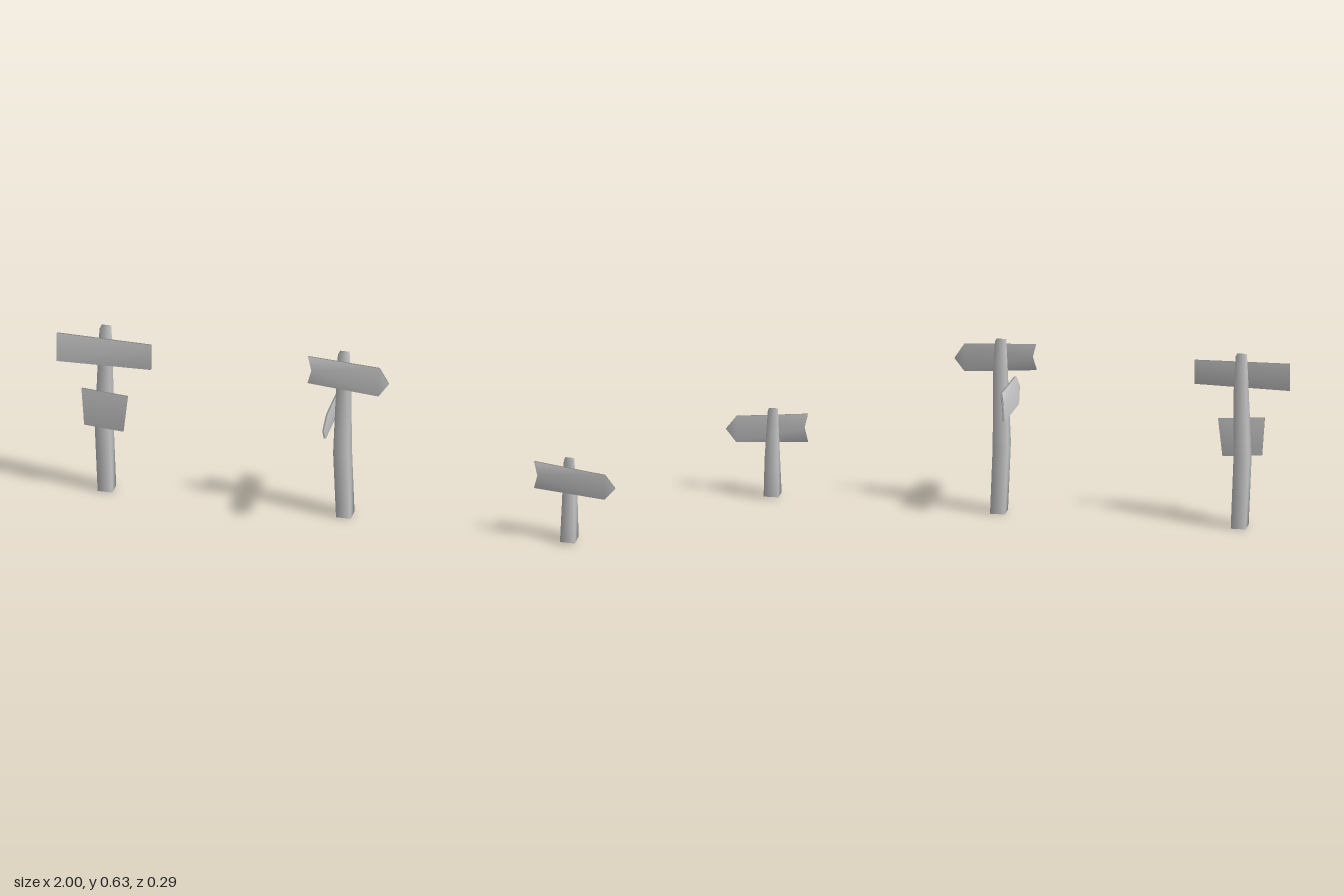
import * as THREE from 'three';

const material = new THREE.MeshStandardMaterial({ color: 0xcccccc });

// Closed smooth solid through matching counter-clockwise rings; the contour triangulates both caps
function loft(rings, contour) {
  const n = contour.length;
  const index = [];
  for (let r = 0; r < rings.length - 1; r++) {
    for (let i = 0; i < n; i++) {
      const a = r * n + i, b = r * n + (i + 1) % n;
      index.push(a, b, b + n, a, b + n, a + n);
    }
  }
  const last = (rings.length - 1) * n;
  const caps = THREE.ShapeUtils.triangulateShape(contour.map(([u, v]) => new THREE.Vector2(u, v)), []);
  for (const [a, b, c] of caps) index.push(a, c, b, last + a, last + b, last + c);
  const geometry = new THREE.BufferGeometry();
  geometry.setAttribute('position', new THREE.Float32BufferAttribute(rings.flat(2), 3));
  geometry.setIndex(index);
  geometry.computeVertexNormals();
  return geometry;
}

// Crooked four-sided post; each section is [y, xMin, xMax, zBack, zFront]
function makePost(name, sections) {
  const rings = sections.map(([y, x0, x1, z0, z1]) =>
    [[x0, y, z1], [x1, y, z1], [x1, y, z0], [x0, y, z0]]);
  const mesh = new THREE.Mesh(loft(rings, [[1, 0], [1, 1], [0, 1], [0, 0]]), material);
  mesh.name = name;
  return mesh;
}

// Thin board from an outline in x and y; its back leans from zBottom to zTop
function makeBoard(name, outline, zBottom, zTop, thickness = 0.008) {
  const ys = outline.map(p => p[1]);
  const low = Math.min(...ys), high = Math.max(...ys);
  const rings = [0, thickness].map(d => outline.map(([x, y]) =>
    [x, y, THREE.MathUtils.mapLinear(y, low, high, zBottom, zTop) + d]));
  const mesh = new THREE.Mesh(loft(rings, outline), material);
  mesh.name = name;
  return mesh;
}

function makeSignpost(name, ...parts) {
  const group = new THREE.Group();
  group.name = name;
  group.add(...parts);
  return group;
}

// Tall post sections around a given x
const tallPost = (name, x) => makePost(name, [
  [0, x, x + 0.053, -0.052, 0.004],
  [0.25, x - 0.011, x + 0.043, -0.055, 0.001],
  [0.51, x, x + 0.044, -0.043, 0.001],
  [0.63, x + 0.004, x + 0.038, -0.041, -0.007],
]);

export function createModel() {
  const model = new THREE.Group();
  model.name = 'signposts';

  // Signpost with two plain boards
  model.add(makeSignpost('plainSignpost',
    tallPost('plainPost', -0.853),
    makeBoard('longBoard', [[-0.997, 0.498], [-0.66, 0.503], [-0.662, 0.593], [-1, 0.6]], 0.009, -0.003),
    makeBoard('shortBoard', [[-0.9, 0.257], [-0.76, 0.246], [-0.745, 0.383], [-0.91, 0.396]], 0.002, 0)));

  // Signpost with two crossing arrow boards
  const sideArrow = makeBoard('sideArrow',
    [[-0.145, 0.374], [0.104, 0.356], [0.146, 0.407], [0.109, 0.455], [-0.145, 0.474], [-0.134, 0.427]],
    0.012, 0);
  sideArrow.rotation.y = -Math.PI / 2;
  model.add(makeSignpost('crossingSignpost',
    tallPost('crossingPost', 0),
    makeBoard('frontArrow',
      [[-0.1, 0.518], [0.155, 0.497], [0.19, 0.545], [0.155, 0.6], [-0.1, 0.615], [-0.087, 0.565]],
      0.008, -0.004),
    sideArrow));

  // Short signpost with one arrow board
  model.add(makeSignpost('shortSignpost',
    makePost('shortPost', [
      [0.007, 0.805, 0.858, -0.039, 0.018],
      [0.15, 0.808, 0.854, -0.041, 0.002],
      [0.32, 0.815, 0.846, -0.023, 0.002],
    ]),
    makeBoard('shortArrow',
      [[0.71, 0.203], [0.963, 0.187], [1, 0.233], [0.963, 0.281], [0.71, 0.305], [0.722, 0.253]],
      0.002, 0.002)));

  return model;
}
